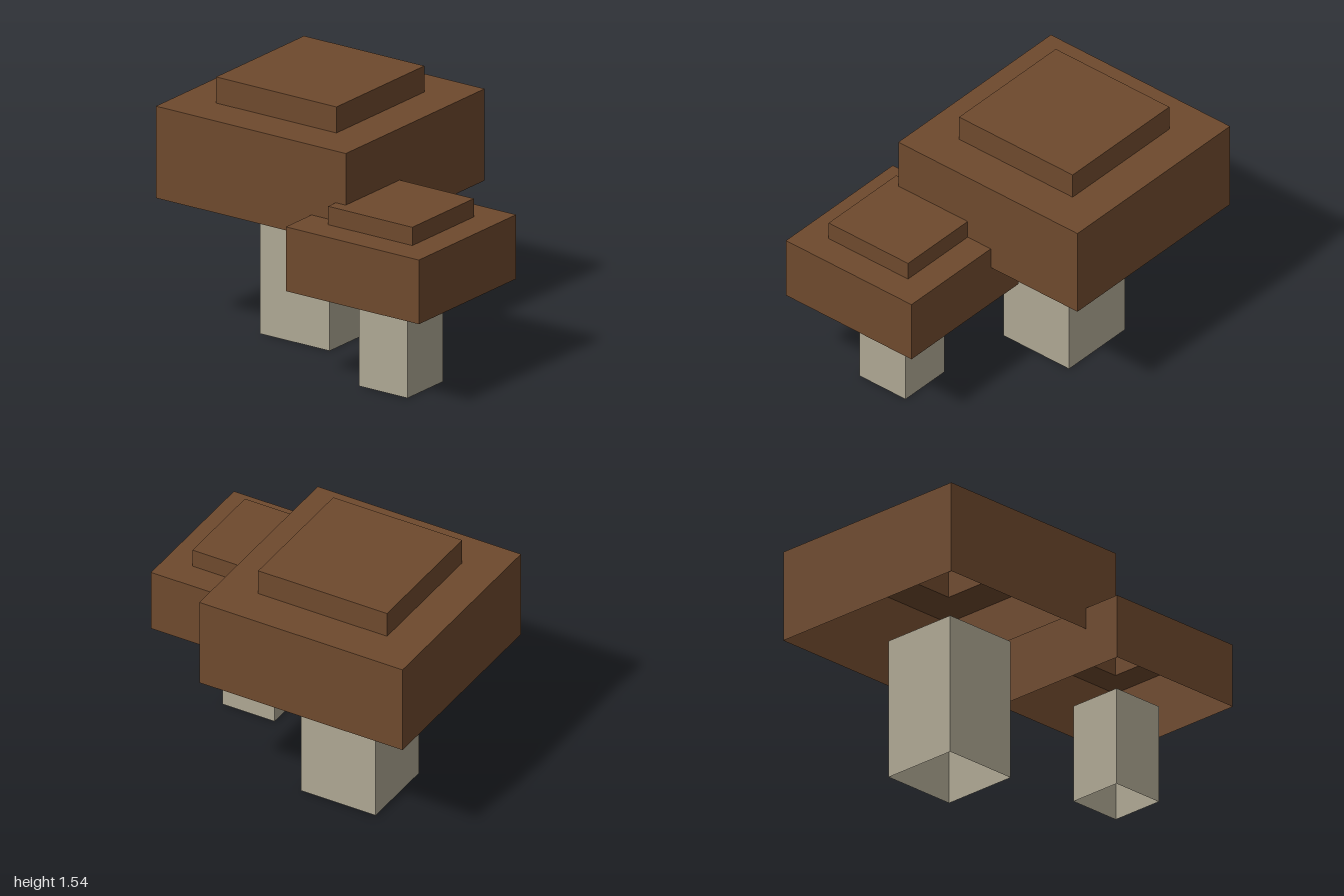
import * as THREE from 'three';

const capBrown = new THREE.MeshStandardMaterial({ color: 0x6e492d, side: THREE.DoubleSide });
capBrown.name = 'capBrown';
const stemBeige = new THREE.MeshStandardMaterial({ color: 0xaea793, side: THREE.DoubleSide });
stemBeige.name = 'stemBeige';

// Thin-walled box, open below and, unless hasTop, open above
function shell(name, size, height, y, hasTop, material) {
  const geometry = new THREE.BoxGeometry(size, height, size);
  const index = Array.from(geometry.index.array);
  const top = hasTop ? index.slice(12, 18) : [];
  geometry.setIndex([...index.slice(0, 12), ...top, ...index.slice(24, 36)]);
  geometry.clearGroups();
  const mesh = new THREE.Mesh(geometry, material);
  mesh.name = name;
  mesh.position.y = y + height / 2;
  return mesh;
}

// Flat square shelf with a square opening beneath the crown
function shelf(name, size, hole, y) {
  const square = (Type, s) => new Type([[-1, -1], [1, -1], [1, 1], [-1, 1]]
    .map(([a, b]) => new THREE.Vector2(a * s / 2, b * s / 2)));
  const shape = square(THREE.Shape, size);
  shape.holes.push(square(THREE.Path, hole));
  const mesh = new THREE.Mesh(new THREE.ShapeGeometry(shape).rotateX(-Math.PI / 2), capBrown);
  mesh.name = name;
  mesh.position.y = y;
  return mesh;
}

// One square mushroom: hollow stem, hollow cap and raised crown
function mushroom(name, x, z, m) {
  const group = new THREE.Group();
  group.name = name;
  group.position.set(x, 0, z);
  group.add(
    shell('stem', m.stem, m.capY, 0, false, stemBeige),
    shell('capWalls', m.cap, m.crownY - m.capY, m.capY, false, capBrown),
    shelf('capShelf', m.cap, m.crown, m.crownY),
    shell('crown', m.crown, m.topY - m.crownY, m.crownY, true, capBrown)
  );
  return group;
}

export function createModel() {
  const model = new THREE.Group();
  model.name = 'mushrooms';
  model.add(
    mushroom('largeMushroom', -0.342, -0.122,
      { stem: 0.482, cap: 1.316, crown: 0.834, capY: 0.84, crownY: 1.386, topY: 1.541 }),
    mushroom('smallMushroom', 0.539, 0.318,
      { stem: 0.337, cap: 0.922, crown: 0.583, capY: 0.588, crownY: 0.97, topY: 1.079 })
  );
  return model;
}
